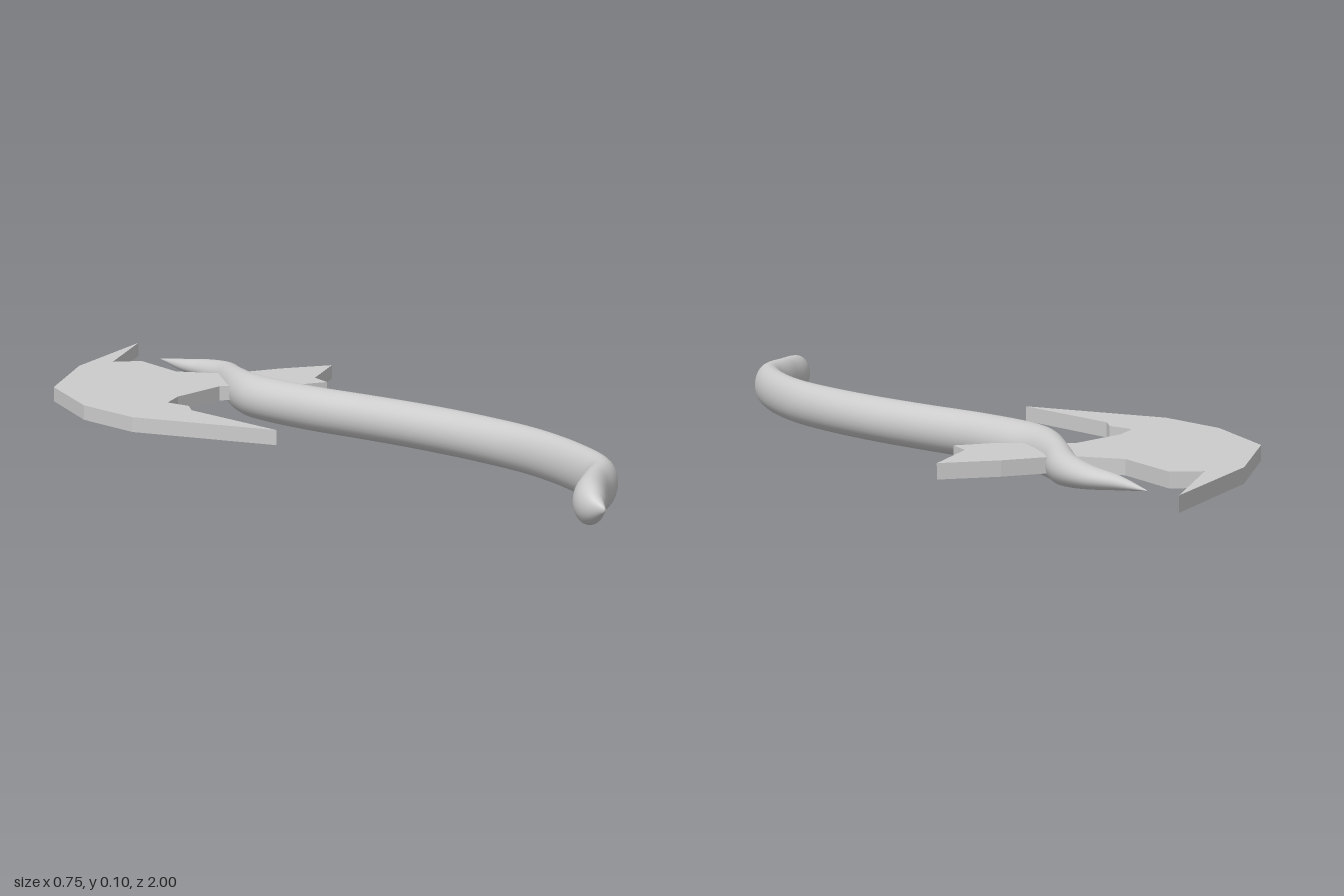
import * as THREE from 'three';

const steel = new THREE.MeshStandardMaterial({ color: 0xcccccc });
steel.name = 'pale grey';

const MID = 0.051; // height of the centre plane

// Handle stations from pointed tip to butt: x, z, half width, half height
const STATIONS = [
  [0.11, -0.855, 0.001, 0.001],
  [0.116, -0.755, 0.018, 0.015],
  [0.135, -0.67, 0.03, 0.025],
  [0.128, -0.575, 0.033, 0.035],
  [0.09, -0.475, 0.034, 0.044],
  [0.058, -0.368, 0.044, 0.05],
  [0.056, -0.278, 0.052, 0.051],
  [0.085, -0.13, 0.049, 0.051],
  [0.135, 0.03, 0.049, 0.051],
  [0.178, 0.188, 0.05, 0.051],
  [0.208, 0.347, 0.047, 0.051],
  [0.222, 0.505, 0.041, 0.051],
  [0.205, 0.665, 0.038, 0.051],
  [0.163, 0.8, 0.035, 0.051],
  [0.09, 0.868, 0.031, 0.051],
  [0.037, 0.918, 0.034, 0.048],
  [0.015, 0.955, 0.027, 0.036],
  [0.01, 0.995, 0.003, 0.005],
];

// Sweeps an elliptical section of varying size along a smooth curve
function makeHandle(steps = 110, sides = 28) {
  const path = new THREE.CatmullRomCurve3(STATIONS.map(([x, z]) => new THREE.Vector3(x, MID, z)));
  const size = new THREE.CatmullRomCurve3(STATIONS.map(([, , w, h]) => new THREE.Vector3(w, h, 0)));
  size.curveType = path.curveType = 'catmullrom';
  const pos = [], index = [];
  for (let i = 0; i <= steps; i++) {
    const c = path.getPoint(i / steps), t = path.getTangent(i / steps), s = size.getPoint(i / steps);
    const w = Math.max(s.x, 0.001), h = Math.max(s.y, 0.001);
    for (let j = 0; j < sides; j++) {
      const a = (j / sides) * Math.PI * 2, r = Math.cos(a) * w;
      pos.push(c.x + t.z * r, c.y + Math.sin(a) * h, c.z - t.x * r);
      if (i === steps) continue;
      const p = i * sides + j, q = i * sides + ((j + 1) % sides);
      index.push(p, q, p + sides, q, q + sides, p + sides);
    }
  }
  // End caps
  const last = steps * sides;
  for (let j = 1; j < sides - 1; j++) {
    index.push(0, j + 1, j, last, last + j, last + j + 1);
  }
  const geo = new THREE.BufferGeometry();
  geo.setAttribute('position', new THREE.Float32BufferAttribute(pos, 3));
  geo.setIndex(index);
  geo.computeVertexNormals();
  return geo;
}

// Flat axe head outline as x, z: crescent edge, beard, rear spike
const BLADE = [
  [0.13, -1.0], [-0.15, -0.81], [-0.33, -0.61], [-0.375, -0.385], [-0.35, -0.21],
  [-0.157, 0.085], [-0.2, -0.2], [-0.18, -0.245], [-0.2, -0.305], [-0.145, -0.35],
  [0, -0.4], [0.1, -0.34], [0.155, -0.315], [0.24, -0.3], [0.245, -0.36],
  [0.37, -0.47], [0.24, -0.505], [0.125, -0.52], [0.08, -0.54], [0.01, -0.615],
  [0.01, -0.78], [-0.055, -0.81],
];

function makeBlade() {
  const shape = new THREE.Shape(BLADE.map(([x, z]) => new THREE.Vector2(x, -z)));
  const geo = new THREE.ExtrudeGeometry(shape, { depth: 0.034, bevelEnabled: false });
  return geo.rotateX(-Math.PI / 2).translate(0, MID - 0.017, 0);
}

export function createModel() {
  const group = new THREE.Group();
  group.name = 'battleAxe';
  const add = (name, geo) => {
    const mesh = new THREE.Mesh(geo, steel);
    mesh.name = name;
    group.add(mesh);
  };
  add('handle', makeHandle());
  add('axeHead', makeBlade());
  return group;
}
